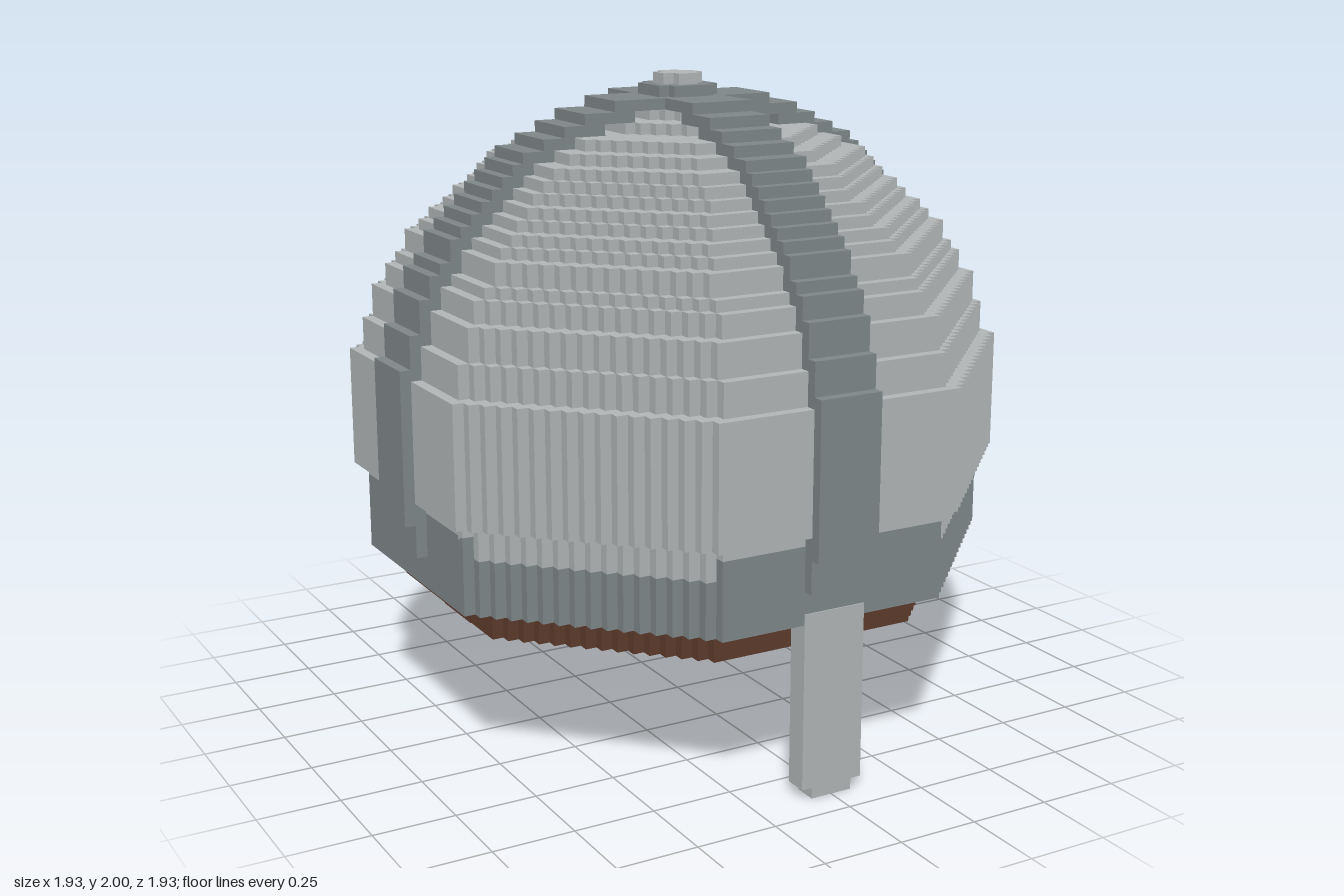
import * as THREE from 'three';
import { mergeGeometries } from 'three/addons/utils/BufferGeometryUtils.js';

// All part sizes are in cubes; one cube is 1/30 unit
const V = 1 / 30;

const mat = (name, hex) => {
  const m = new THREE.MeshStandardMaterial({ color: hex });
  m.name = name;
  return m;
};

// Corners of a stair-stepped octagon with apothem a
function octagon(a) {
  const h = Math.round(a * 0.4142);
  const quarter = [];
  let x = a, y = h;
  quarter.push([x, y]);
  while (x > h) {
    x--;
    quarter.push([x, y]);
    y++;
    quarter.push([x, y]);
  }
  const pts = [];
  for (let q = 0; q < 4; q++) {
    const c = [1, 0, -1, 0][q], s = [0, 1, 0, -1][q];
    for (const [px, py] of quarter) pts.push(new THREE.Vector2(px * c - py * s, px * s + py * c));
  }
  return pts;
}

// Octagonal ring (solid when inner is 0) from height y0 to y1
function ring(outer, inner, y0, y1) {
  const shape = new THREE.Shape(octagon(outer));
  if (inner > 0) shape.holes.push(new THREE.Path(octagon(inner)));
  const g = new THREE.ExtrudeGeometry(shape, { depth: y1 - y0, bevelEnabled: false });
  return g.rotateX(-Math.PI / 2).translate(0, y0, 0);
}

// Box given by its two opposite corners
function box(x0, x1, y0, y1, z0, z1) {
  return new THREE.BoxGeometry(x1 - x0, y1 - y0, z1 - z0)
    .translate((x0 + x1) / 2, (y0 + y1) / 2, (z0 + z1) / 2);
}

// Repeat a part on all four sides
const around = (list) => list.flatMap((g) =>
  [0, 1, 2, 3].map((q) => g.clone().rotateY((q * Math.PI) / 2)));

// Outer reach of the ribs at layer i; the dome sits one cube inside
const ribReach = (i) => {
  if (i < 22) return 28;
  const d = Math.max(0, i + 0.5 - 30) / 28.7;
  return i <= 35 ? 29 : Math.round(29.1 * Math.sqrt(1 - d * d));
};
const domeReach = (i) => {
  if (i < 24) return 27;
  if (i === 55) return 7;
  if (i === 56) return 4;
  return i > 56 ? 0 : ribReach(i + 1) - 1;
};

export function createModel() {
  const group = new THREE.Group();
  const light = mat('light steel', 0xb0b4b4);
  const dark = mat('dark steel', 0x7d8688);
  const brown = mat('brown leather', 0x5c3a2c);

  const add = (name, material, geoms) => {
    const mesh = new THREE.Mesh(mergeGeometries(geoms), material);
    mesh.name = name;
    mesh.scale.setScalar(V);
    group.add(mesh);
  };

  // Dome: stacked rings, neighbouring layers of equal size joined
  const dome = [];
  for (let i = 23; i <= 56;) {
    let j = i + 1;
    while (j <= 56 && domeReach(j) === domeReach(i)) j++;
    const next = domeReach(j);
    dome.push(ring(domeReach(i), i === 23 ? 25 : Math.max(0, next - 1), i, j));
    i = j;
  }
  add('dome', light, dome);

  // Lower edge: full dark band, dark side plates and light diagonal steps
  add('brimBand', dark, [ring(27, 24, 16, 21)]);
  add('brimPlates', dark, around([box(-11, 11, 21, 23, 25, 27)]));
  const steps = [];
  for (let k = 0; k < 16; k++) steps.push(box(25 - k, 27 - k - 1, 21, 23, 10 + k, 12 + k));
  add('diagonalSteps', light, around(steps));

  // Four ribs climbing to the crown
  const ribs = [box(-3, 3, 19, 22, 25, 28), box(-3, 3, 22, 36, 26, 29)];
  for (let i = 36; i <= 57; i++) {
    const inner = i === 57 ? 0 : ribReach(i + 1) - 2;
    ribs.push(box(-3, 3, i, i + 1, inner, ribReach(i)));
  }
  add('ribs', dark, around(ribs));

  // Crown knob
  add('crownBase', dark, [box(-3, 3, 58, 59, -2, 2), box(-2, 2, 58, 59, -3, 3)]);
  add('crownCap', light, [box(-2, 2, 59, 60, -1, 1), box(-1, 1, 59, 60, -2, 2)]);

  // Nose guard
  add('noseGuard', light, [box(-3, 3, 1, 17, 25, 27.1), box(-2, 2, 0, 1, 25, 27.1)]);

  // Leather lining and chin straps
  add('lining', brown, [ring(24, 23, 13, 21)]);
  for (const s of [-1, 1]) {
    const span = (a, b, y0, y1, w) => box(Math.min(s * a, s * b), Math.max(s * a, s * b), y0, y1, -w, w);
    const parts = [span(13, 23, 12, 13, 3), span(21.5, 23.05, 12, 18, 3)];
    if (s > 0) parts.push(span(13, 16, 11, 14, 4));
    add(s > 0 ? 'leftStrap' : 'rightStrap', brown, parts);
  }
  return group;
}
